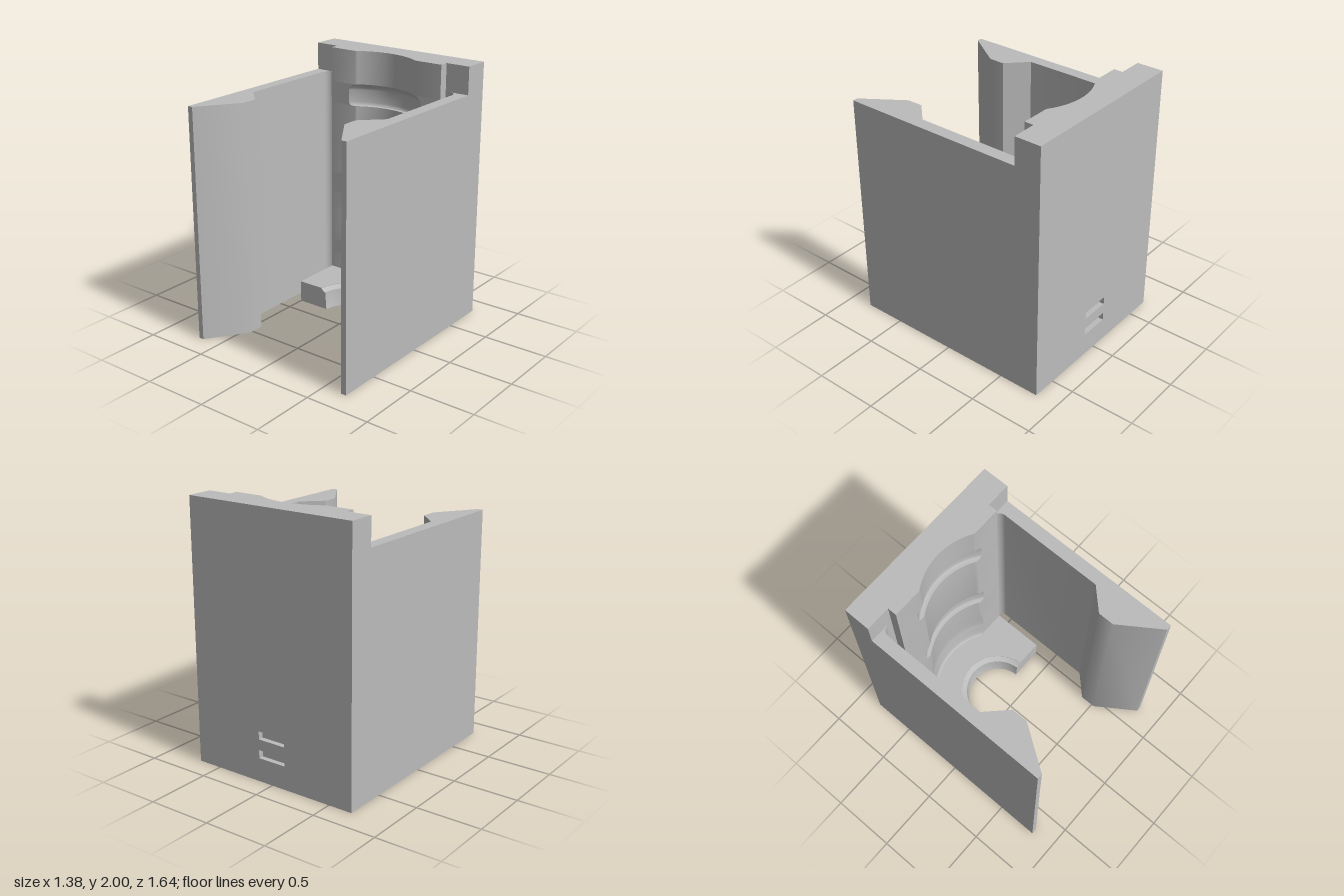
import * as THREE from 'three';
import { toCreasedNormals } from 'three/addons/utils/BufferGeometryUtils.js';

const AXIS_Z = -0.135; // axis of the turned recess
const HALF = 0.5;      // half width of the holder block and foot
const INNER_Z = -0.68; // where the parts meet the back plate

// Block with a turned recess in its front; profile rows are [y, half width of the opening].
function carvedBlock(profile, frontZ, steps) {
  const dist = frontZ - AXIS_Z;
  const rows = profile.map(([y, hw]) => {
    const r = Math.hypot(hw, dist);
    const a = Math.atan2(hw, -dist);
    const row = [[-HALF, y, INNER_Z], [-HALF, y, frontZ]];
    for (let i = 0; i <= steps; i++) {
      const t = a * (2 * i / steps - 1);
      row.push([r * Math.sin(t), y, AXIS_Z - r * Math.cos(t)]);
    }
    row.push([HALF, y, frontZ], [HALF, y, INNER_Z]);
    return row;
  });
  const pos = [];
  const quad = (a, b, c, d) => pos.push(...a, ...b, ...c, ...a, ...c, ...d);
  const back = (p) => [p[0], p[1], INNER_Z];
  const low = rows[0], high = rows[rows.length - 1];
  for (let i = 0; i < low.length - 1; i++) {
    for (let j = 0; j < rows.length - 1; j++) {
      quad(rows[j][i], rows[j][i + 1], rows[j + 1][i + 1], rows[j + 1][i]);
    }
    // top and bottom caps
    quad(high[i], high[i + 1], back(high[i + 1]), back(high[i]));
    quad(low[i + 1], low[i], back(low[i]), back(low[i + 1]));
  }
  const geo = new THREE.BufferGeometry();
  geo.setAttribute('position', new THREE.Float32BufferAttribute(pos, 3));
  return toCreasedNormals(geo, 0.6);
}

// Side arm with a filleted root and a snap hook, drawn in plan and extruded upwards.
function armGeometry(s) {
  const shape = new THREE.Shape();
  shape.moveTo(s * 0.69, -0.82);
  [[0.65, -0.82], [0.445, -0.52], [0.445, -0.4], [0.595, -0.25], [0.595, 0.56]]
    .forEach(([x, y]) => shape.lineTo(s * x, y));
  shape.bezierCurveTo(s * 0.595, 0.593, s * 0.568, 0.62, s * 0.535, 0.62);
  [[0.5, 0.62], [0.5, -INNER_Z], [0.69, -INNER_Z]].forEach(([x, y]) => shape.lineTo(s * x, y));
  const geo = new THREE.ExtrudeGeometry(shape, { depth: 1.79, bevelEnabled: false, curveSegments: 8 });
  geo.rotateX(-Math.PI / 2);
  return toCreasedNormals(geo, 0.6);
}

function rectangle(path, x0, y0, x1, y1) {
  path.moveTo(x0, y0);
  path.lineTo(x1, y0);
  path.lineTo(x1, y1);
  path.lineTo(x0, y1);
  path.closePath();
  return path;
}

export function createModel() {
  const group = new THREE.Group();
  const grey = new THREE.MeshStandardMaterial({ color: 0xbcbcbc });
  grey.name = 'grey plastic';
  const add = (name, geo, x = 0, y = 0, z = 0) => {
    const mesh = new THREE.Mesh(geo, grey);
    mesh.name = name;
    mesh.position.set(x, y, z);
    group.add(mesh);
  };

  // Back plate: slotted outer skin over a solid core
  const skin = rectangle(new THREE.Shape(), -0.69, 0, 0.69, 2);
  for (const y of [0.18, 0.325]) {
    skin.holes.push(rectangle(new THREE.Path(), -0.115, y, 0.115, y + 0.062));
  }
  add('backSkin', new THREE.ExtrudeGeometry(skin, { depth: 0.04, bevelEnabled: false }), 0, 0, -0.825);
  add('backCore', new THREE.BoxGeometry(1.38, 2, 0.105), 0, 1, -0.7325);

  // Arms with hooks, and the plate shoulders above them
  for (const [side, s] of [['left', 1], ['right', -1]]) {
    add(side + 'Arm', armGeometry(s));
    add(side + 'Shoulder', new THREE.BoxGeometry(0.19, 0.21, 0.06), s * 0.595, 1.895, -0.65);
  }

  // Holder block with two ring grooves and a bulged lower body
  add('holderBlock', carvedBlock([
    [0.17, 0.262], [0.18, 0.278], [0.2, 0.29], [0.3, 0.291], [0.325, 0.297], [0.355, 0.304],
    [0.4, 0.305], [0.45, 0.302], [0.56, 0.292], [0.68, 0.286], [0.828, 0.283],
    [0.83, 0.318], [0.838, 0.328], [0.855, 0.334], [0.945, 0.334], [0.965, 0.328], [0.98, 0.312],
    [0.99, 0.288], [1.02, 0.274], [1.568, 0.274],
    [1.57, 0.312], [1.578, 0.324], [1.595, 0.33], [1.69, 0.33], [1.705, 0.325], [1.735, 0.292],
    [1.74, 0.275], [2, 0.275],
  ], -0.55, 32));

  // Foot with a half-round seat and chamfered rim
  add('foot', carvedBlock([
    [0, 0.24], [0.01, 0.243], [0.14, 0.252], [0.142, 0.262], [0.165, 0.29], [0.17, 0.29],
  ], -0.145, 32));

  return group;
}
